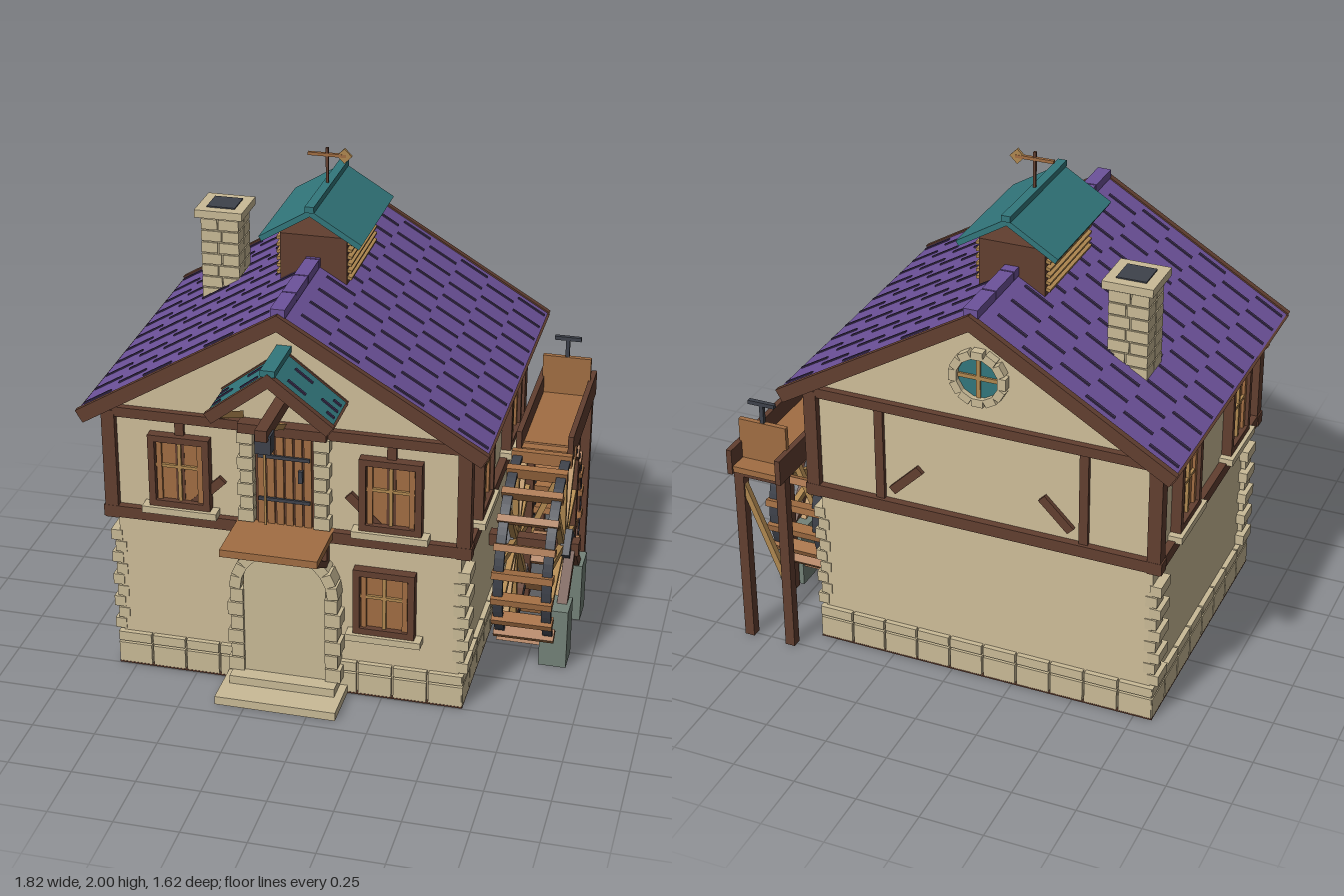
import * as THREE from 'three';

const mat = (name, color) => new THREE.MeshStandardMaterial({ name, color });
const plaster = mat('plaster', 0xcfbe99), stone = mat('stone', 0xcabb97), greyStone = mat('grey stone', 0x748278);
const darkWood = mat('dark wood', 0x623f30), warmWood = mat('warm wood', 0xa26e43), lightWood = mat('light wood', 0xb08850);
const iron = mat('iron', 0x3e424b), purple = mat('purple tile', 0x6d529b), seam = mat('tile seam', 0x3a2d4e), teal = mat('teal tile', 0x32777c);

function add(parent, name, geo, m, x = 0, y = 0, z = 0) {
  const mesh = new THREE.Mesh(geo, m);
  mesh.name = name;
  mesh.position.set(x, y, z);
  parent.add(mesh);
  return mesh;
}
const box = (p, name, m, w, h, d, x, y, z) => add(p, name, new THREE.BoxGeometry(w, h, d), m, x, y, z);
function group(parent, name, x = 0, y = 0, z = 0, ry = 0) {
  const g = new THREE.Group();
  g.name = name;
  g.position.set(x, y, z);
  g.rotation.y = ry;
  parent.add(g);
  return g;
}
// Square timber running from point a to point b
function beam(p, name, m, a, b, w, d = w) {
  const A = new THREE.Vector3(...a), B = new THREE.Vector3(...b), dir = B.clone().sub(A);
  const mesh = box(p, name, m, w, dir.length(), d, 0, 0, 0);
  mesh.position.copy(A).add(B).multiplyScalar(0.5);
  mesh.quaternion.setFromUnitVectors(new THREE.Vector3(0, 1, 0), dir.normalize());
  return mesh;
}
// Two pitched slabs with optional wooden trim and tile seams; origin at the ridge
function gableRoof(p, name, m, { half, rise, depth, thick, trim = 0, step = 0, period = 0.28 }) {
  const L = Math.hypot(half, rise), ang = Math.atan2(rise, half);
  for (const s of [-1, 1]) {
    const g = group(p, name + 'Slope');
    g.rotation.z = -s * ang;
    box(g, name + 'Tiles', m, L, thick, depth, s * L / 2, -thick / 2, 0);
    if (trim) {
      for (const e of [-1, 1]) box(g, name + 'Bargeboard', darkWood, L + 0.01, trim, 0.025, s * L / 2, -trim / 2 + 0.006, e * depth / 2);
      box(g, name + 'Fascia', darkWood, 0.02, trim - 0.01, depth, s * L, -trim / 2 + 0.002, 0);
      box(g, name + 'Soffit', darkWood, L - 0.02, 0.008, depth - 0.02, s * L / 2, -thick - 0.004, 0);
    }
    if (step) {
      const n = Math.floor((depth - 0.06) / step / 2);
      for (let i = -n; i <= n; i++)
        for (let u = (i & 1) ? 0.07 : 0.21; u < L - 0.03; u += period) {
          const len = Math.min(period * 0.46, L - u - 0.01);
          box(g, 'tileSeam', seam, len, 0.006, 0.012, s * (u + len / 2), 0.002, i * step);
        }
    }
  }
}
// Framed window on a wall facing +z
function windowUnit(p, x, y, z, w = 0.235, h = 0.29) {
  const g = group(p, 'window', x, y, z);
  box(g, 'windowPanes', warmWood, w - 0.04, h - 0.04, 0.02, 0, 0, 0.005);
  for (const s of [-1, 1]) {
    box(g, 'frameSide', darkWood, 0.026, h, 0.05, s * (w / 2 - 0.013), 0, 0.015);
    box(g, 'frameRail', darkWood, w, 0.026, 0.05, 0, s * (h / 2 - 0.013), 0.015);
    box(g, 'sashSide', warmWood, 0.02, h - 0.05, 0.03, s * (w / 2 - 0.04), 0, 0.012);
  }
  box(g, 'mullion', lightWood, 0.014, h - 0.05, 0.03, 0, 0, 0.012);
  box(g, 'glazingBar', lightWood, w - 0.05, 0.012, 0.028, 0, 0.02, 0.012);
  box(g, 'sill', stone, w + 0.055, 0.028, 0.07, 0, -h / 2 - 0.014, 0.02);
}

function buildWalls(house) {
  box(house, 'lowerWalls', plaster, 1.35, 0.696, 1.12, 0, 0.352, 0);
  box(house, 'foundation', darkWood, 1.39, 0.006, 1.16, 0, 0.003, 0);
  const s = new THREE.Shape([[-0.685, 0.69], [0.685, 0.69], [0.685, 1.155], [0, 1.565], [-0.685, 1.155]].map(q => new THREE.Vector2(...q)));
  add(house, 'upperWalls', new THREE.ExtrudeGeometry(s, { depth: 1.14, bevelEnabled: false }), plaster, 0, 0, -0.57);
  // Base course in two rows around all four sides
  for (let side = 0; side < 4; side++) {
    const g = group(house, 'baseCourse', 0, 0, 0, side * Math.PI / 2);
    const len = side % 2 ? 1.16 : 1.39, dist = side % 2 ? 0.675 : 0.56, n = side % 2 ? 8 : 10, w = len / n;
    for (let i = 0; i < n; i++) for (let r = 0; r < 2; r++)
      box(g, 'baseStone', stone, w - 0.008, r ? 0.04 : 0.086, 0.04, (i + 0.5) * w - len / 2, r ? 0.122 : 0.05, dist);
  }
  for (const x of [-1, 1]) for (const z of [-1, 1]) {
    for (let i = 0; i < 9; i++) {
      const d = i % 2 ? 0.075 : 0.1;
      box(house, 'cornerStone', stone, 0.045, 0.044, d, x * (i % 2 ? 0.672 : 0.688), 0.172 + i * 0.05, z * (0.564 - d / 2));
    }
    box(house, 'cornerPost', darkWood, 0.052, 0.46, 0.052, x * 0.688, 0.9, z * 0.573);
  }
  // Timber framing, the same on front and back
  for (const ry of [0, Math.PI]) {
    const g = group(house, 'timberFrame', 0, 0, 0, ry);
    box(g, 'sillBeam', darkWood, 1.44, 0.048, 0.05, 0, 0.698, 0.575);
    box(g, 'topBeam', darkWood, 1.42, 0.04, 0.05, 0, 1.125, 0.572);
    for (const s of [-1, 1]) {
      box(g, 'framePost', darkWood, 0.035, 0.4, 0.03, s * 0.41, 0.91, 0.572);
      beam(g, 'frameBrace', darkWood, [s * 0.36, 0.765, 0.575], [s * 0.245, 0.88, 0.575], 0.035, 0.025);
    }
  }
  for (const s of [-1, 1]) {
    const g = group(house, 'sideWall', 0, 0, 0, s * Math.PI / 2);
    box(g, 'sillBeam', darkWood, 1.2, 0.048, 0.05, 0, 0.698, 0.69);
    box(g, 'topBeam', darkWood, 1.16, 0.04, 0.04, 0, 1.125, 0.69);
    for (const z of [-0.295, 0.295]) windowUnit(g, z, 0.892, 0.685, 0.23, 0.3);
    for (const z of [-0.445, 0, 0.445]) beam(g, 'eaveBracket', warmWood, [z, 1.055, 0.71], [z, 1.115, 0.765], 0.025);
    windowUnit(house, s * 0.41, 0.9, 0.57, 0.24, 0.3);
  }
  windowUnit(house, 0.385, 0.43, 0.56, 0.24, 0.28);
}

function buildRoundWindow(house) {
  const g = group(house, 'roundWindow', 0, 1.33, -0.57, Math.PI);
  add(g, 'roundGlass', new THREE.CylinderGeometry(0.085, 0.085, 0.02, 24), teal, 0, 0, 0.003).rotation.x = Math.PI / 2;
  for (let i = 0; i < 12; i++) {
    const a = i * Math.PI / 6;
    box(g, 'ringStone', stone, 0.032, 0.046, 0.045, Math.cos(a) * 0.096, Math.sin(a) * 0.096, 0.012).rotation.z = a;
  }
  box(g, 'windowBar', lightWood, 0.016, 0.16, 0.03, 0, 0, 0.006);
  box(g, 'windowBar', lightWood, 0.16, 0.016, 0.03, 0, 0, 0.006);
}

function buildEntrance(house) {
  box(house, 'lowerStep', stone, 0.48, 0.035, 0.2, 0, 0.0175, 0.68);
  box(house, 'upperStep', stone, 0.42, 0.035, 0.13, 0, 0.0525, 0.61);
  box(house, 'doorPanel', stone, 0.325, 0.51, 0.06, 0, 0.325, 0.585);
  const half = new THREE.CylinderGeometry(0.175, 0.175, 0.03, 24, 1, false, Math.PI / 2, Math.PI);
  add(house, 'fanlight', half, lightWood, 0, 0.44, 0.575).rotation.x = Math.PI / 2;
  for (let i = 0; i < 11; i++) {
    const a = (i + 0.5) * Math.PI / 11;
    box(house, 'archStone', stone, 0.044, 0.051, 0.08, Math.cos(a) * 0.193, 0.44 + Math.sin(a) * 0.193, 0.59).rotation.z = a;
  }
  for (const s of [-1, 1]) {
    for (let i = 0; i < 6; i++) box(house, 'jambStone', stone, i % 2 ? 0.05 : 0.062, 0.056, 0.08, s * (i % 2 ? 0.187 : 0.193), 0.1 + i * 0.062, 0.59);
    // Balcony brackets
    box(house, 'bracketPost', darkWood, 0.026, 0.11, 0.04, s * 0.155, 0.635, 0.592);
    beam(house, 'bracketBrace', darkWood, [s * 0.155, 0.58, 0.6], [s * 0.155, 0.69, 0.8], 0.025);
    for (let i = 0; i < 7; i++) box(house, 'loftJambStone', stone, i % 2 ? 0.05 : 0.062, 0.05, 0.05, s * (i % 2 ? 0.143 : 0.148), 0.755 + i * 0.055, 0.585);
  }
  box(house, 'balcony', warmWood, 0.375, 0.03, 0.27, 0, 0.708, 0.695);
  // Loft door
  box(house, 'loftDoorBack', darkWood, 0.23, 0.39, 0.02, 0, 0.917, 0.57);
  for (let i = 0; i < 6; i++) box(house, 'loftDoorPlank', warmWood, 0.028, 0.385, 0.025, (i - 2.5) * 0.036, 0.915, 0.578);
  for (const y of [0.83, 1.01]) box(house, 'doorStrap', iron, 0.2, 0.014, 0.01, 0, y, 0.594);
  box(house, 'doorLatch', iron, 0.016, 0.05, 0.02, 0.065, 0.94, 0.595);
  box(house, 'loftLintel', darkWood, 0.34, 0.04, 0.07, 0, 1.13, 0.59);
}

function buildHoist(house) {
  const roof = group(house, 'hoistRoof', 0, 1.44, 0.675);
  gableRoof(roof, 'hoistRoof', teal, { half: 0.235, rise: 0.18, depth: 0.22, thick: 0.025, trim: 0.045, step: 0.05, period: 0.18 });
  box(roof, 'hoistRidge', teal, 0.055, 0.025, 0.24, 0, 0.008, 0);
  box(house, 'hoistBeam', darkWood, 0.045, 0.045, 0.34, 0, 1.248, 0.723);
  box(house, 'pulleyBlock', iron, 0.06, 0.075, 0.055, 0, 1.203, 0.845);
  beam(house, 'rope', lightWood, [0, 1.17, 0.847], [0, 0.865, 0.847], 0.008);
  beam(house, 'beamBrace', lightWood, [0, 1.14, 0.59], [0, 1.23, 0.78], 0.022);
  for (const s of [-1, 1]) beam(house, 'roofBrace', lightWood, [s * 0.165, 1.17, 0.59], [s * 0.21, 1.24, 0.75], 0.026);
}

function buildRoof(house) {
  const roof = group(house, 'mainRoof', 0, 1.615, 0);
  gableRoof(roof, 'mainRoof', purple, { half: 0.78, rise: 0.467, depth: 1.32, thick: 0.035, trim: 0.055, step: 0.061 });
  for (let i = 0; i < 8; i++) box(roof, 'ridgeTile', purple, 0.055, 0.035, 0.158, 0, 0.006, (i - 3.5) * 0.164);
  // Chimney of coursed stones
  const c = group(house, 'chimney', -0.462, 0, -0.23);
  box(c, 'chimneyCore', stone, 0.144, 0.46, 0.144, 0, 1.41, 0);
  for (let i = 0; i < 9; i++) for (const s of [-1, 1]) for (const k of [-1, 1]) {
    const cut = i % 2 ? 0.008 : -0.008, w = 0.08 - s * cut;
    box(c, 'chimneyStone', stone, w - 0.006, 0.043, 0.076, s * w / 2 + cut, 1.215 + i * 0.049, k * 0.041);
  }
  box(c, 'chimneyCap', stone, 0.195, 0.032, 0.195, 0, 1.655, 0);
  box(c, 'flue', iron, 0.115, 0.008, 0.115, 0, 1.672, 0);
  // Louvred ridge vent
  const v = group(house, 'roofVent', 0, 0, -0.067);
  box(v, 'ventBox', darkWood, 0.26, 0.24, 0.43, 0, 1.605, 0);
  for (const s of [-1, 1]) for (let i = 0; i < 6; i++)
    box(v, 'louvre', lightWood, 0.03, 0.012, 0.41, s * 0.132, 1.562 + i * 0.028, 0).rotation.z = -s * 0.25;
  const vr = group(v, 'ventRoof', 0, 1.845, 0);
  gableRoof(vr, 'ventRoof', teal, { half: 0.2, rise: 0.122, depth: 0.53, thick: 0.022 });
  box(vr, 'ventRidge', teal, 0.035, 0.024, 0.54, 0, 0.003, 0);
  // Weather vane
  beam(v, 'vanePole', darkWood, [0, 1.72, 0], [0, 2, 0], 0.01);
  box(v, 'vaneArm', warmWood, 0.15, 0.012, 0.014, 0, 1.972, 0);
  box(v, 'vanePoint', lightWood, 0.042, 0.042, 0.012, 0.068, 1.972, 0).rotation.z = Math.PI / 4;
}

function buildWheel(root) {
  const w = group(root, 'waterWheel', 0.745, 0.415, -0.13, Math.PI / 2);
  const ring = (r0, r1, depth) => {
    const s = new THREE.Shape().absarc(0, 0, r1, 0, Math.PI * 2);
    s.holes.push(new THREE.Path().absarc(0, 0, r0, 0, Math.PI * 2, true));
    return new THREE.ExtrudeGeometry(s, { depth, bevelEnabled: false, curveSegments: 40 }).translate(0, 0, -depth / 2);
  };
  for (const s of [-1, 1]) {
    add(w, 'wheelRim', ring(0.36, 0.381, 0.032), darkWood, 0, 0, s * 0.095);
    add(w, 'rimBand', ring(0.37, 0.388, 0.038), iron, 0, 0, s * 0.095);
    for (let i = 0; i < 10; i++) {
      const a = (94 + i * 36) * Math.PI / 180, c = Math.cos(a), n = Math.sin(a);
      beam(w, 'spoke', lightWood, [c * 0.03, n * 0.03, s * 0.095], [c * 0.365, n * 0.365, s * 0.095], 0.028, 0.024);
    }
    box(w, 'hubPlate', iron, 0.11, 0.11, 0.04, 0, 0, s * 0.115).rotation.z = Math.PI / 4;
  }
  for (let i = 0; i < 22; i++) {
    const a = (i + 0.5) * Math.PI / 11;
    box(w, 'paddle', warmWood, 0.05, 0.028, 0.24, Math.cos(a) * 0.381, Math.sin(a) * 0.381, 0).rotation.z = a;
  }
  box(w, 'axle', darkWood, 0.052, 0.052, 0.37, 0, 0, -0.02);
  // Bearing piers and struts
  for (const s of [-1, 1]) {
    box(root, 'bearingPier', greyStone, 0.11, 0.255, 0.122, 0.855, 0.1275, -0.13 + s * 0.185);
    beam(root, 'bearingStrut', darkWood, [0.875, 0.24, -0.13 + s * 0.17], [0.875, 0.4, -0.13 + s * 0.01], 0.04);
  }
  box(root, 'axleEnd', darkWood, 0.07, 0.055, 0.055, 0.875, 0.415, -0.13);
}

function buildFlume(root) {
  const f = group(root, 'flume', 0.745, 0, -0.495);
  box(f, 'flumeFloor', warmWood, 0.2, 0.025, 0.615, 0, 0.79, 0);
  for (const s of [-1, 1]) {
    box(f, 'flumeSide', darkWood, 0.022, 0.105, 0.63, s * 0.103, 0.822, 0);
    for (const z of [0.09, -0.255]) box(f, 'flumeLeg', darkWood, 0.04, 0.79, 0.04, s * 0.09, 0.395, z);
  }
  for (const z of [0.09, -0.255]) {
    box(f, 'crossBeam', darkWood, 0.22, 0.035, 0.04, 0, 0.76, z);
    beam(f, 'legBrace', lightWood, [-0.08, 0.3, z], [0.08, 0.7, z], 0.024);
  }
  box(f, 'sluiceGate', warmWood, 0.2, 0.17, 0.02, 0, 0.885, -0.222);
  box(f, 'gateStem', iron, 0.016, 0.1, 0.016, 0, 1.01, -0.222);
  box(f, 'gateHandle', iron, 0.11, 0.016, 0.018, 0, 1.052, -0.222);
}

export function createModel() {
  const root = new THREE.Group();
  root.name = 'watermill';
  const house = group(root, 'house', -0.127, 0, -0.083);
  buildWalls(house);
  buildRoundWindow(house);
  buildEntrance(house);
  buildHoist(house);
  buildRoof(house);
  buildWheel(root);
  buildFlume(root);
  return root;
}
